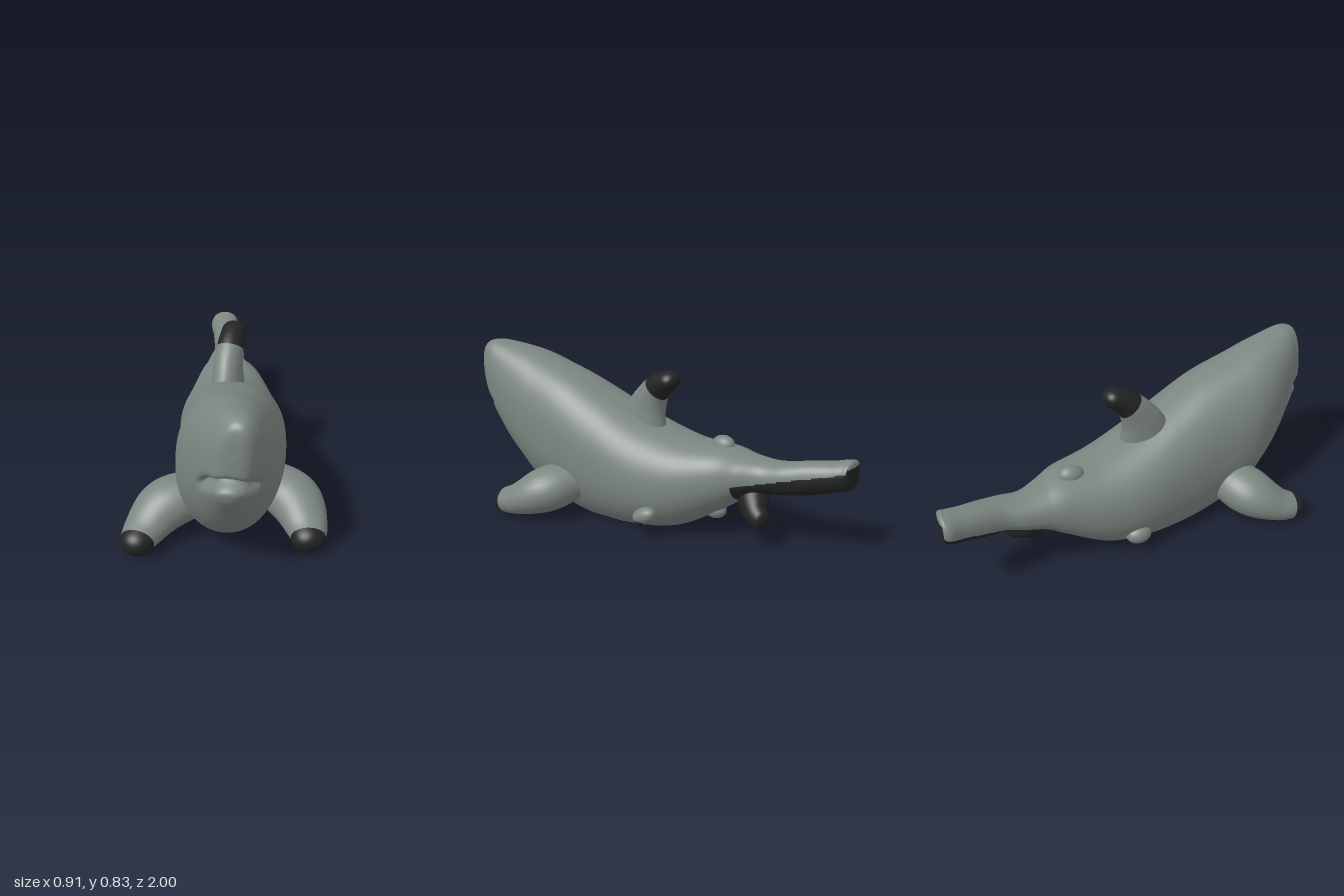
import * as THREE from 'three';

const grey = new THREE.MeshStandardMaterial({ color: 0x7c8681 });
grey.name = 'slate grey skin';
const black = new THREE.MeshStandardMaterial({ color: 0x222323 });
black.name = 'black fin tips';

const V = (x, y, z) => new THREE.Vector3(x, y, z);

// Skin a list of closed rings; isBlack(u, centre) picks the colour of each quad
function skin(name, rings, isBlack) {
  const n = rings[0].length;
  const faces = [[], []];
  for (let i = 0; i < rings.length - 1; i++) {
    for (let j = 0; j < n; j++) {
      const k = (j + 1) % n;
      const a = i * n + j, b = i * n + k, c = a + n, d = b + n;
      const centre = rings[i][j].clone().add(rings[i + 1][k]).multiplyScalar(0.5);
      faces[isBlack((i + 0.5) / (rings.length - 1), centre) ? 1 : 0].push(a, b, d, a, d, c);
    }
  }
  const geo = new THREE.BufferGeometry().setFromPoints(rings.flat());
  geo.setIndex([...faces[0], ...faces[1]]);
  geo.addGroup(0, faces[0].length, 0);
  geo.addGroup(faces[0].length, faces[1].length, 1);
  geo.computeVertexNormals();
  const mesh = new THREE.Mesh(geo, [grey, black]);
  mesh.name = name;
  return mesh;
}

// Body sections from tail to snout: z, centre x, half width, bottom y, top y
const sections = [
  [-1.0, -0.315, 0, 0.41, 0.45],
  [-0.992, -0.318, 0.065, 0.365, 0.5],
  [-0.96, -0.32, 0.08, 0.35, 0.5],
  [-0.9, -0.3, 0.078, 0.33, 0.485],
  [-0.8, -0.27, 0.08, 0.3, 0.468],
  [-0.7, -0.243, 0.085, 0.282, 0.445],
  [-0.6, -0.235, 0.1, 0.26, 0.43],
  [-0.5, -0.205, 0.135, 0.22, 0.44],
  [-0.4, -0.175, 0.175, 0.145, 0.465],
  [-0.2, -0.13, 0.235, 0.02, 0.475],
  [0, -0.09, 0.265, -0.03, 0.53],
  [0.2, -0.05, 0.262, -0.05, 0.62],
  [0.4, -0.014, 0.252, -0.03, 0.71],
  [0.6, 0.01, 0.236, 0.05, 0.77],
  [0.7, 0.028, 0.215, 0.13, 0.8],
  [0.8, 0.055, 0.183, 0.23, 0.82],
  [0.9, 0.088, 0.135, 0.36, 0.835],
  [0.95, 0.102, 0.1, 0.42, 0.83],
  [0.982, 0.105, 0.075, 0.47, 0.81],
  [0.996, 0.108, 0.045, 0.54, 0.77],
  [1.0, 0.11, 0, 0.64, 0.68],
];

function makeBody() {
  const line = new THREE.CatmullRomCurve3(sections.map((s) => V(s[0], s[1], s[2])), false, 'catmullrom');
  const heights = new THREE.CatmullRomCurve3(sections.map((s) => V(s[3], s[4], 0)), false, 'catmullrom');
  const rings = [], steps = 240, sides = 88;
  for (let i = 0; i <= steps; i++) {
    const p = line.getPoint(i / steps), h = heights.getPoint(i / steps);
    const width = Math.max(p.z, 0);
    const lean = 0.025 * THREE.MathUtils.smoothstep(p.x, -0.3, 0.5);
    const ring = [];
    for (let j = 0; j < sides; j++) {
      const a = (j / sides) * Math.PI * 2;
      // fuller back, rounder belly, the whole section leaning to the left
      const power = Math.sin(a) > 0 ? 0.88 : 0.96;
      const soften = (v) => Math.sign(v) * Math.abs(v) ** power;
      const x = p.y + width * soften(Math.cos(a)) + lean * Math.sin(a);
      const y = (h.x + h.y) / 2 + ((h.y - h.x) / 2) * soften(Math.sin(a));
      // mouth: an arched groove pressed into the snout
      const lipY = 0.55 - 0.05 * ((x - 0.09) / 0.12) ** 2;
      const groove = Math.exp(-(((y - lipY) / 0.024) ** 2)) * THREE.MathUtils.smoothstep(p.x, 0.86, 0.96);
      // belly rests flat on the ground
      ring.push(V(
        THREE.MathUtils.lerp(x, p.y, groove * 0.06),
        Math.max(y, 0.004),
        THREE.MathUtils.clamp(p.x, -1, 1) - 0.065 * groove,
      ));
    }
    rings.push(ring);
  }
  // dark lower edge of the tail, leaning to the left side, and its dark end
  return skin('body', rings, (u, c) => {
    if (c.z > -0.49) return false;
    if (c.z < -0.99) return c.y < 0.475;
    const t = (-0.5 - c.z) / 0.5;
    const mid = -0.205 - 0.115 * t;
    return c.y < 0.275 + 0.165 * t + 0.3 * (c.x - mid);
  });
}

// Rounded fin along a path; radii are [across, thick] at each path point
function makeFin(name, points, radii, blackFrom, reference = V(0, 1, 0)) {
  const path = new THREE.CatmullRomCurve3(points.map((p) => V(...p)));
  const size = new THREE.CatmullRomCurve3(radii.map((r) => V(r[0], r[1], 0)), false, 'catmullrom');
  const rings = [], steps = 40, sides = 28, capStart = 0.84;
  for (let i = 0; i <= steps; i++) {
    const u = Math.sin((i / steps) * Math.PI / 2);
    const p = path.getPoint(u), r = size.getPoint(u), t = path.getTangent(u);
    const side = reference.clone().cross(t).normalize();
    const up = t.clone().cross(side);
    const e = Math.max(0, (u - capStart) / (1 - capStart));
    const cap = Math.sqrt(Math.max(0, 1 - e ** 3));
    const ring = [];
    for (let j = 0; j < sides; j++) {
      const a = (j / sides) * Math.PI * 2;
      const q = p.clone()
        .addScaledVector(side, Math.cos(a) * r.x * cap)
        .addScaledVector(up, Math.sin(a) * r.y * cap);
      q.y = Math.max(q.y, 0.004);
      ring.push(q);
    }
    rings.push(ring);
  }
  return skin(name, rings, (u) => Math.sin(u * Math.PI / 2) > blackFrom);
}

function makeNub(name, position, scale, tilt = 0, material = grey) {
  const mesh = new THREE.Mesh(new THREE.SphereGeometry(1, 20, 14), material);
  mesh.name = name;
  mesh.position.set(...position);
  mesh.scale.set(...scale);
  mesh.rotation.x = tilt;
  return mesh;
}

export function createModel() {
  const shark = new THREE.Group();
  shark.name = 'shark';
  shark.add(makeBody());

  // Pectoral fins
  const pectoralSize = [[0.11, 0.1], [0.13, 0.115], [0.098, 0.08], [0.06, 0.052]];
  shark.add(makeFin('leftPectoralFin',
    [[0.13, 0.19, 0.34], [0.28, 0.152, 0.42], [0.36, 0.09, 0.55], [0.386, 0.06, 0.675]], pectoralSize, 0.83));
  shark.add(makeFin('rightPectoralFin',
    [[-0.12, 0.19, 0.48], [-0.285, 0.152, 0.57], [-0.357, 0.09, 0.7], [-0.378, 0.06, 0.835]], pectoralSize, 0.83));

  // Dorsal fin
  shark.add(makeFin('dorsalFin',
    [[-0.09, 0.47, 0.08], [-0.098, 0.61, 0.04], [-0.097, 0.71, -0.025], [-0.088, 0.78, -0.14]],
    [[0.085, 0.15], [0.072, 0.1], [0.064, 0.066], [0.06, 0.042]], 0.61, V(0, 0, 1)));

  // Lower tail lobe
  shark.add(makeFin('lowerTailLobe',
    [[-0.23, 0.28, -0.52], [-0.185, 0.228, -0.553], [-0.14, 0.182, -0.6], [-0.115, 0.165, -0.665]],
    [[0.08, 0.07], [0.075, 0.076], [0.058, 0.066], [0.042, 0.046]], -1));

  // Small rear fins
  shark.add(makeNub('secondDorsalFin', [-0.2, 0.455, -0.35], [0.045, 0.05, 0.065], 0.2));
  shark.add(makeNub('leftPelvicFin', [0.128, 0.12, -0.125], [0.044, 0.042, 0.072], 0.5));
  shark.add(makeNub('leftPelvicFinTip', [0.147, 0.09, -0.115], [0.025, 0.018, 0.03], 0.5, black));
  shark.add(makeNub('rightPelvicFin', [-0.33, 0.11, -0.06], [0.05, 0.048, 0.065]));
  shark.add(makeNub('analFin', [-0.16, 0.125, -0.345], [0.05, 0.045, 0.06]));
  return shark;
}
